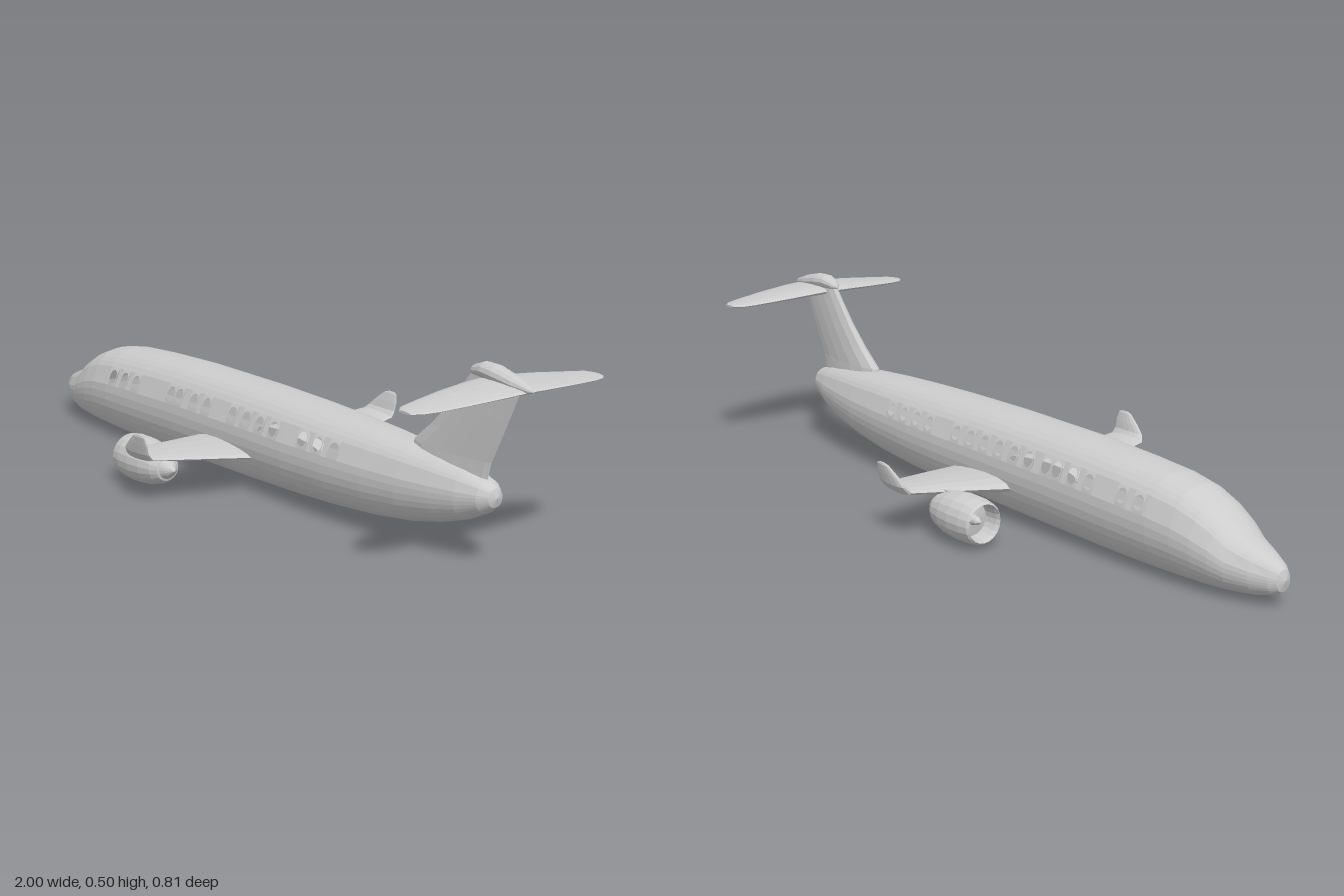
import * as THREE from 'three';

const material = new THREE.MeshStandardMaterial({ color: 0xcccccc, side: THREE.DoubleSide });
material.name = 'light grey';

function addMesh(parent, name, geometry) {
  const mesh = new THREE.Mesh(geometry, material);
  mesh.name = name;
  parent.add(mesh);
  return mesh;
}

// Faceted geometry from a list of triangle corners
function faceted(points) {
  const g = new THREE.BufferGeometry().setFromPoints(points);
  g.computeVertexNormals();
  return g;
}

// Skin a series of equal-sized rings and close both ends
function loft(rings) {
  const out = [], n = rings[0].length;
  for (let i = 0; i < rings.length - 1; i++) {
    for (let j = 0; j < n; j++) {
      const k = (j + 1) % n, [a, b] = [rings[i], rings[i + 1]];
      out.push(a[j], a[k], b[j], a[k], b[k], b[j]);
    }
  }
  for (const [ring, flip] of [[rings[0], true], [rings[rings.length - 1], false]]) {
    for (let j = 1; j < n - 1; j++) {
      out.push(ring[0], flip ? ring[j + 1] : ring[j], flip ? ring[j] : ring[j + 1]);
    }
  }
  return faceted(out);
}

// Wing section: chord from x0 to x1 around (y, z); tilt turns the thickness from y towards z
function airfoil(x0, x1, y, z, thick, tilt = 0) {
  return Array.from({ length: 14 }, (_, i) => {
    const a = (i / 14) * Math.PI * 2;
    const u = (1 - Math.cos(a)) / 2;
    const t = Math.sin(a) * thick / 2 * (1.15 - 0.5 * u);
    return new THREE.Vector3(x0 + (x1 - x0) * u, y + t * Math.cos(tilt), z + t * Math.sin(tilt));
  });
}

// Fuselage stations: x, bottom, top, half width
const STATIONS = [
  [-1, 0.07, 0.076, 0.003], [-0.993, 0.045, 0.1, 0.022], [-0.975, 0.034, 0.113, 0.036],
  [-0.93, 0.022, 0.132, 0.058], [-0.87, 0.014, 0.156, 0.08], [-0.83, 0.011, 0.188, 0.092],
  [-0.78, 0.008, 0.217, 0.102], [-0.72, 0.006, 0.24, 0.109], [-0.64, 0.004, 0.254, 0.114],
  [-0.5, 0.003, 0.264, 0.116], [-0.3, 0.006, 0.272, 0.117], [0, 0.013, 0.274, 0.117],
  [0.2, 0.02, 0.271, 0.116], [0.35, 0.028, 0.267, 0.111], [0.5, 0.04, 0.261, 0.1],
  [0.62, 0.057, 0.253, 0.088], [0.72, 0.08, 0.243, 0.073], [0.8, 0.106, 0.231, 0.058],
  [0.86, 0.136, 0.216, 0.04], [0.885, 0.156, 0.202, 0.022], [0.892, 0.177, 0.181, 0.002],
];

// Point on the hull at station x and angle t (-90 to 90 degrees, bottom to top)
function hull(x, t, side) {
  let i = 0;
  while (i < STATIONS.length - 2 && x > STATIONS[i + 1][0]) i++;
  const a = STATIONS[i], b = STATIONS[i + 1], f = (x - a[0]) / (b[0] - a[0]);
  const [bottom, top, w] = [1, 2, 3].map((k) => a[k] + (b[k] - a[k]) * f);
  return new THREE.Vector3(x, (bottom + top) / 2 + (top - bottom) / 2 * Math.sin(t),
    side * w * Math.pow(Math.max(0, Math.cos(t)), 0.85));
}

// One side of the hull, with open round windows along a band
function fuselageSide(side, windows) {
  const HALF = 0.0195, LOW = 0.25, HIGH = 0.7, out = [];
  const tri = (...p) => {
    const c = p.map(([x, t]) => hull(x, t, side));
    out.push(...(side > 0 ? c : c.reverse()));
  };
  const quad = (x0, x1, t0, t1) => {
    tri([x0, t0], [x1, t0], [x1, t1]);
    tri([x0, t0], [x1, t1], [x0, t1]);
  };
  const xs = STATIONS.map((s) => s[0]).filter((x) => windows.every((w) => Math.abs(x - w) > HALF));
  windows.forEach((w) => xs.push(w - HALF, w + HALF));
  xs.sort((a, b) => a - b);

  const rows = [];
  for (let i = 0; i <= 10; i++) rows.push(-Math.PI / 2 + (LOW + Math.PI / 2) * i / 10);
  for (let i = 0; i <= 6; i++) rows.push(HIGH + (Math.PI / 2 - HIGH) * i / 6);

  for (let i = 0; i < xs.length - 1; i++) {
    const mid = (xs[i] + xs[i + 1]) / 2;
    const isWindow = windows.some((w) => Math.abs(mid - w) < 0.001);
    for (let r = 0; r < rows.length - 1; r++) {
      if (!(isWindow && r === 10)) {
        quad(xs[i], xs[i + 1], rows[r], rows[r + 1]);
        continue;
      }
      // Frame around a window: square outside, round inside
      const N = 16, tm = (LOW + HIGH) / 2, th = (HIGH - LOW) / 2;
      const at = (k, round) => {
        const a = (k / N) * Math.PI * 2, c = Math.cos(a), s = Math.sin(a);
        const m = round ? 1 : 1 / Math.max(Math.abs(c), Math.abs(s));
        return [mid + c * m * (round ? 0.0165 : HALF), tm + s * m * (round ? 0.165 : th)];
      };
      for (let k = 0; k < N; k++) {
        tri(at(k, false), at(k + 1, false), at(k + 1, true));
        tri(at(k, false), at(k + 1, true), at(k, true));
      }
    }
  }
  return faceted(out);
}

// Wing with an upturned tip; dx shifts it along the body
function wing(side, dx) {
  const s = (x0, x1, y, z, t, tilt = 0) => airfoil(x0 + dx, x1 + dx, y, z * side, t, -tilt * side);
  return loft([
    s(-0.15, 0.13, 0.102, 0.07, 0.052), s(-0.135, 0.112, 0.106, 0.115, 0.048),
    s(-0.1, 0.085, 0.118, 0.24, 0.036), s(-0.072, 0.06, 0.128, 0.35, 0.026),
    s(-0.068, 0.056, 0.132, 0.38, 0.024, 0.5), s(-0.056, 0.054, 0.147, 0.391, 0.02, 1.2),
    s(-0.03, 0.055, 0.17, 0.396, 0.016, 1.45), s(0, 0.05, 0.192, 0.401, 0.01, 1.45),
    s(0.015, 0.04, 0.197, 0.402, 0.004, 1.45),
  ]);
}

function engine(name, x, z) {
  const group = new THREE.Group();
  group.name = name;
  // Shell runs from inside the intake, round the lip, to the tail cone
  const profile = [[0.044, 0.05], [0.047, 0.012], [0.051, 0], [0.056, 0.006], [0.061, 0.035],
    [0.062, 0.08], [0.057, 0.125], [0.046, 0.165], [0.034, 0.185], [0.028, 0.187], [0.02, 0.2], [0.001, 0.22]];
  const turned = (pts) => {
    const g = new THREE.LatheGeometry(pts.map((p) => new THREE.Vector2(p[0], p[1])), 20);
    g.rotateZ(-Math.PI / 2);
    const flat = g.toNonIndexed();
    flat.computeVertexNormals();
    return flat;
  };
  addMesh(group, 'nacelle', turned(profile));
  addMesh(group, 'fan', turned([[0.001, 0.015], [0.01, 0.028], [0.014, 0.045], [0.045, 0.05]]));
  addMesh(group, 'pylon', loft([
    airfoil(0.06, 0.19, 0.03, 0, 0.022, Math.PI / 2),
    airfoil(0.1, 0.21, 0.054, 0, 0.018, Math.PI / 2),
  ]));
  group.position.set(x, 0.073, z);
  return group;
}

export function createModel() {
  const plane = new THREE.Group();
  plane.name = 'airliner';

  // Body with windows
  addMesh(plane, 'leftFuselage', fuselageSide(1,
    [-0.61, -0.55, -0.49, -0.31, -0.27, -0.2, -0.14, -0.02, 0.04, 0.1, 0.16, 0.28, 0.34, 0.4]));
  addMesh(plane, 'rightFuselage', fuselageSide(-1,
    [-0.61, -0.55, -0.43, -0.37, -0.31, -0.27, -0.2, -0.14, -0.08, -0.02, 0.04, 0.1, 0.22, 0.28, 0.34, 0.4]));

  // Wings and engines
  addMesh(plane, 'frontWing', wing(1, -0.04));
  addMesh(plane, 'rearWing', wing(-1, 0));
  plane.add(engine('frontEngine', -0.253, 0.28), engine('rearEngine', -0.238, -0.28));

  // Swept tail fin
  const fin = (x0, x1, y, t) => airfoil(x0, x1, y, 0, t, Math.PI / 2);
  addMesh(plane, 'tailFin', loft([
    fin(0.58, 0.855, 0.21, 0.06), fin(0.595, 0.868, 0.26, 0.052), fin(0.655, 0.893, 0.31, 0.045),
    fin(0.715, 0.922, 0.37, 0.038), fin(0.765, 0.95, 0.43, 0.032), fin(0.795, 0.965, 0.468, 0.03),
  ]));

  // Fairing on top of the fin
  addMesh(plane, 'finFairing', loft([
    [0.79, 0.468, 0.003], [0.805, 0.472, 0.013], [0.84, 0.478, 0.02], [0.88, 0.475, 0.022],
    [0.94, 0.465, 0.018], [0.985, 0.458, 0.009], [1, 0.456, 0.002],
  ].map(([x, y, r]) => Array.from({ length: 12 }, (_, i) => {
    const a = i / 12 * Math.PI * 2;
    return new THREE.Vector3(x, y + Math.cos(a) * r, Math.sin(a) * r * 1.2);
  }))));

  // Tailplane
  const half = [[0.825, 0.985, 0.452, 0, 0.03], [0.828, 0.983, 0.45, 0.06, 0.028],
    [0.838, 0.972, 0.445, 0.15, 0.022], [0.855, 0.955, 0.439, 0.24, 0.016],
    [0.866, 0.942, 0.437, 0.28, 0.013], [0.885, 0.925, 0.436, 0.298, 0.007]];
  const mirrored = half.slice(1).reverse().map(([a, b, y, z, t]) => [a, b, y, -z, t]);
  addMesh(plane, 'tailplane', loft([...mirrored, ...half].map((s) => airfoil(...s))));

  return plane;
}
